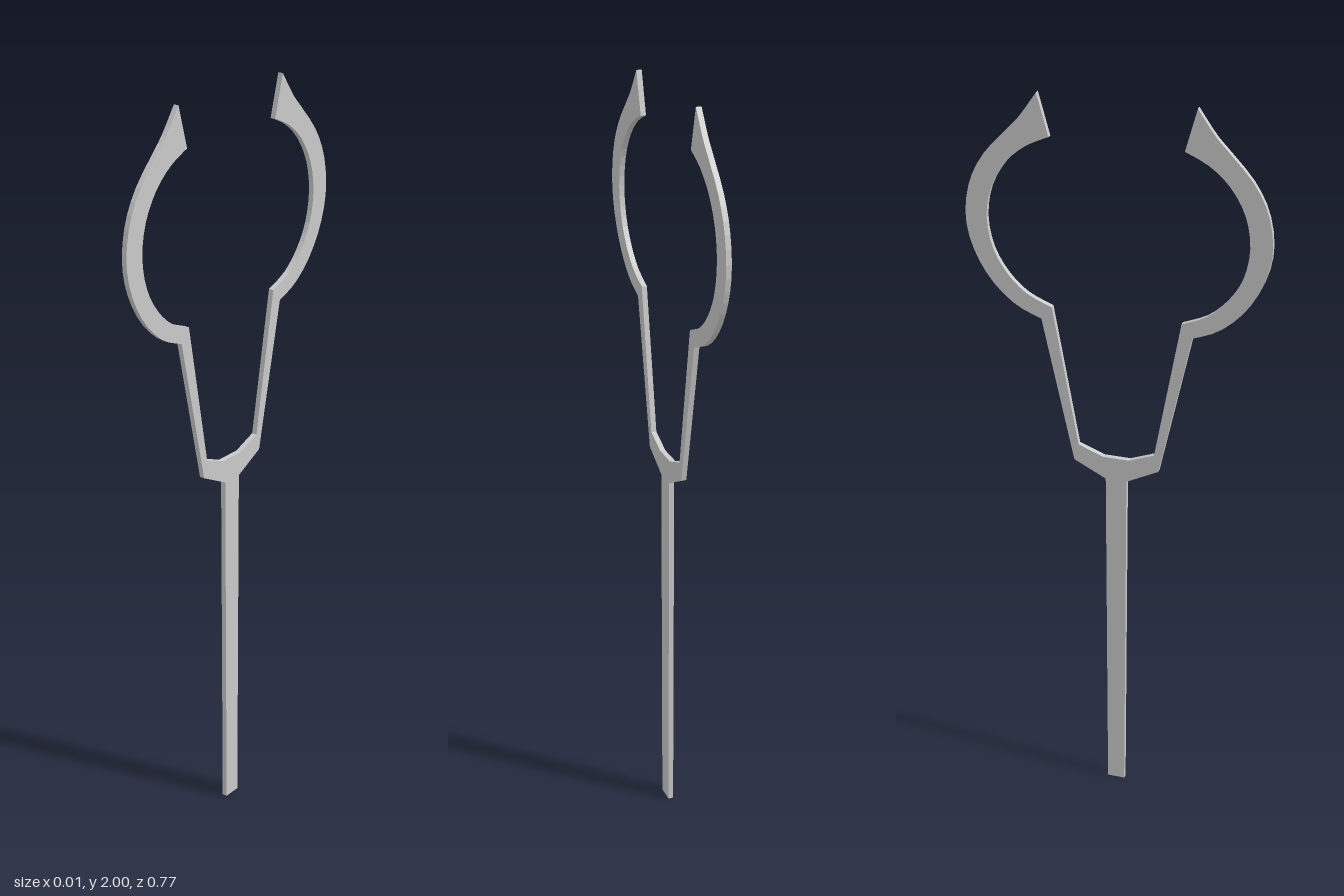
import * as THREE from 'three';

const THICK = 0.014;

// Extrude an outline drawn in (z, y) evenly across x = 0
function plate(name, shape, material) {
  const geo = new THREE.ExtrudeGeometry(shape, { depth: THICK, bevelEnabled: false });
  geo.translate(0, 0, -THICK / 2).rotateY(-Math.PI / 2);
  const mesh = new THREE.Mesh(geo, material);
  mesh.name = name;
  return mesh;
}

const vec = (p) => new THREE.Vector2(p[0], p[1]);
const smooth = (pts) => new THREE.SplineCurve(pts.map(vec)).getPoints(24);

export function createModel() {
  const group = new THREE.Group();
  group.name = 'fork';
  const material = new THREE.MeshStandardMaterial({ color: 0xcccccc, flatShading: true });

  // Long, slightly tapered shaft
  const shaft = [[-0.024, 0], [0.024, 0], [0.028, 0.98], [-0.028, 0.98]].map(vec);
  group.add(plate('shaft', new THREE.Shape(shaft), material));

  // One half of the head: outer edge up to the tip, then inner edge back down
  const outerBow = smooth([
    [0.195, 1.415], [0.262, 1.445], [0.325, 1.505], [0.369, 1.585], [0.386, 1.67],
    [0.372, 1.76], [0.333, 1.835], [0.27, 1.905], [0.238, 1.94], [0.196, 2.0],
  ]);
  const innerBow = smooth([
    [0.167, 1.893], [0.225, 1.865], [0.278, 1.818], [0.317, 1.75], [0.331, 1.67],
    [0.317, 1.59], [0.28, 1.525], [0.23, 1.478], [0.167, 1.45],
  ]);
  const half = [
    ...[[0.028, 0.98], [0.113, 1.024]].map(vec),
    ...outerBow,
    ...innerBow,
    ...[[0.101, 1.07], [0.035, 1.044]].map(vec),
  ];

  // Mirror it into one continuous two-pronged head
  const mirrored = half.map((p) => new THREE.Vector2(-p.x, p.y)).reverse();
  group.add(plate('prongedHead', new THREE.Shape([...half, ...mirrored]), material));

  return group;
}
